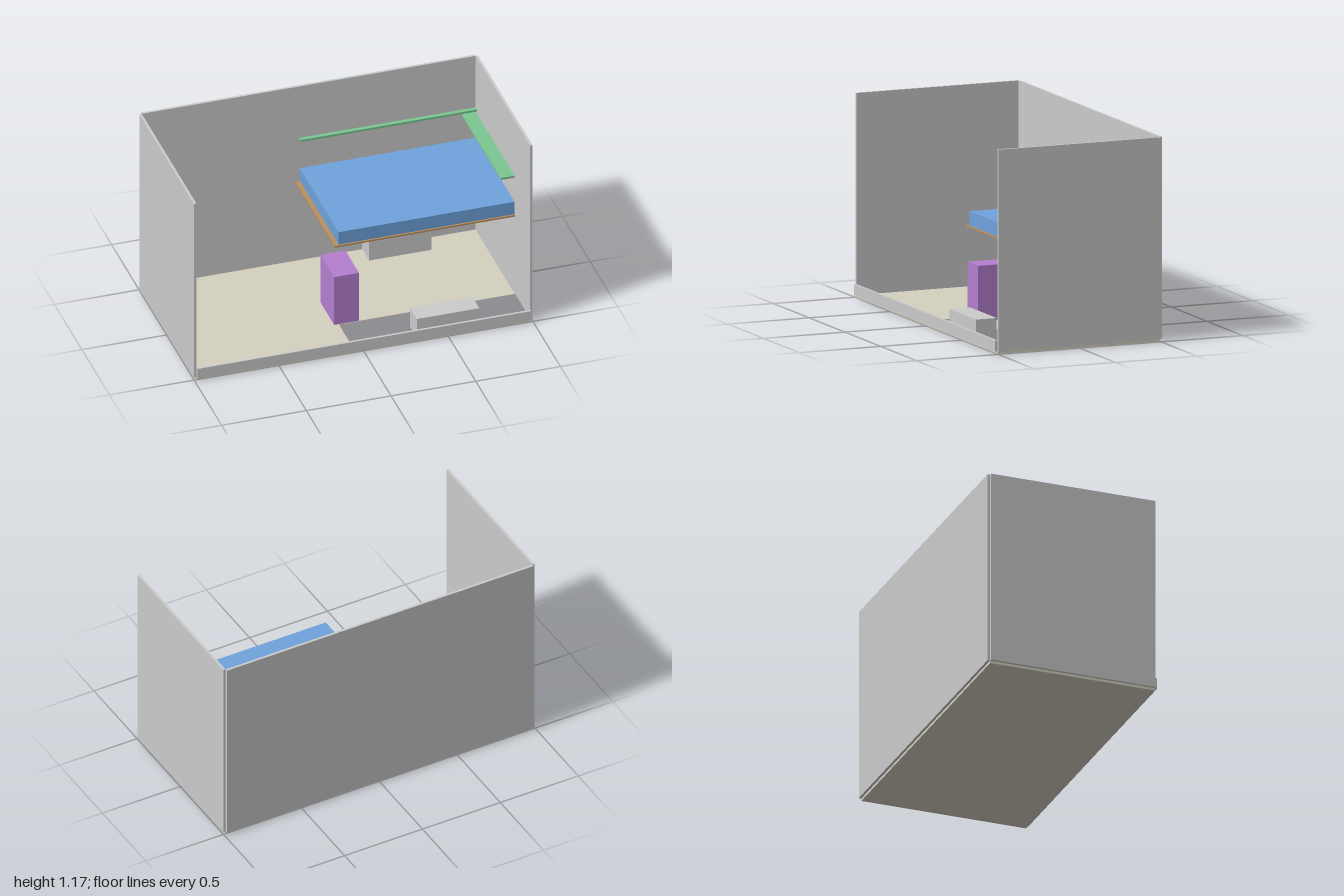
import * as THREE from 'three';

const GREY = 0xcccccc;

export function createModel() {
  const group = new THREE.Group();
  const materials = {};

  // Box from its [min, max] extents on each axis
  function slab(name, color, [x0, x1], [y0, y1], [z0, z1]) {
    materials[color] ??= new THREE.MeshStandardMaterial({ color });
    const mesh = new THREE.Mesh(new THREE.BoxGeometry(x1 - x0, y1 - y0, z1 - z0), materials[color]);
    mesh.position.set((x0 + x1) / 2, (y0 + y1) / 2, (z0 + z1) / 2);
    mesh.name = name;
    group.add(mesh);
  }

  // Inner faces of the shell and its outer limits
  const X = 0.985, Z = 0.497, OUT_Z = 0.512, FLOOR = 0.015, TOP = 1.167;
  const bedHead = -0.053, platformEnd = -0.08, bedSide = 0.213;

  // Shell: floor, tall back wall, low front sill, two end walls
  slab('floor', 0xd6d1c0, [-X, X], [0, FLOOR], [-Z, Z]);
  slab('backWall', GREY, [-X, X], [FLOOR, TOP], [-OUT_Z, -Z]);
  slab('frontSill', GREY, [-X, X], [FLOOR, 0.078], [Z, OUT_Z]);
  slab('rightEndWall', GREY, [-1, -X], [FLOOR, TOP], [-Z, Z]);
  slab('leftEndWall', GREY, [X, 1], [FLOOR, TOP], [-Z, Z]);

  // Raised bed on its platform
  slab('bedPlatform', 0xb8905f, [platformEnd, X], [0.533, 0.543], [-Z, 0.223]);
  slab('mattress', 0x6fa3dc, [bedHead, X], [0.543, 0.625], [-Z, bedSide]);

  // Shelves along the back wall and across the end wall
  slab('backShelf', 0x7cc892, [bedHead, X], [0.813, 0.826], [-Z, -0.472]);
  slab('endShelf', 0x7cc892, [0.904, X], [0.785, 0.798], [-Z, bedSide]);

  // Cabinet under the platform edge
  slab('cabinet', 0xb57fd0, [platformEnd, 0.067], [FLOOR, 0.332], [-0.035, bedSide]);

  // Walkway strip and the pair of wheel arches
  slab('walkway', 0x8c8c90, [bedHead, X], [FLOOR, 0.02], [0.223, Z]);
  slab('frontWheelArch', GREY, [0.316, 0.685], [FLOOR, 0.147], [0.37, Z]);
  slab('backWheelArch', GREY, [0.316, 0.685], [FLOOR, 0.147], [-Z, -0.37]);

  return group;
}
